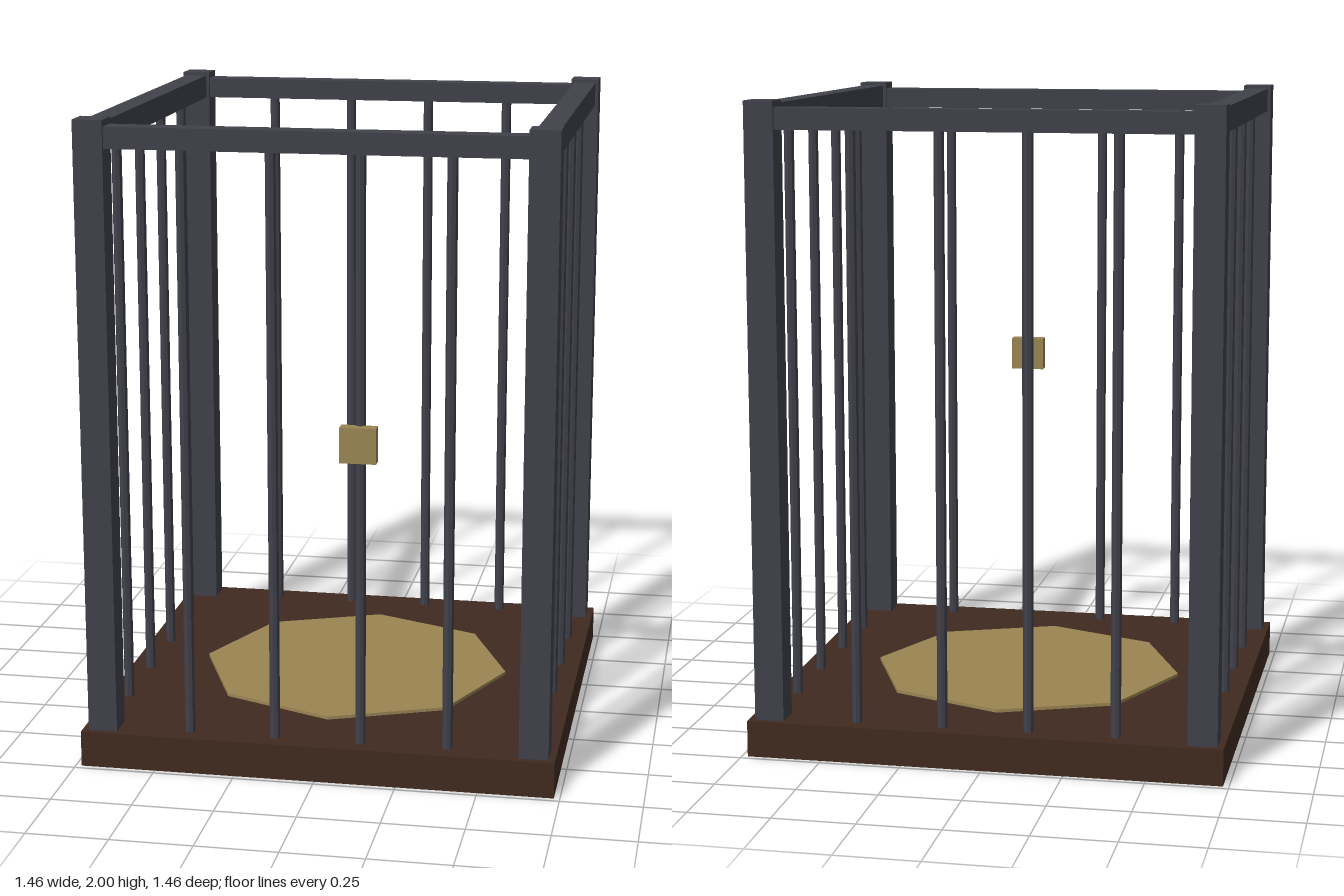
import * as THREE from 'three';

export function createModel() {
  const cage = new THREE.Group();
  cage.name = 'cage';

  const material = (name, color) => {
    const m = new THREE.MeshStandardMaterial({ color, flatShading: true });
    m.name = name;
    return m;
  };
  const wood = material('dark wood', 0x402a20);
  const iron = material('dark iron', 0x40414a);
  const straw = material('dull gold', 0x9a8452);

  const add = (parent, name, geometry, mat, x, y, z) => {
    const mesh = new THREE.Mesh(geometry, mat);
    mesh.name = name;
    mesh.position.set(x, y, z);
    parent.add(mesh);
    return mesh;
  };

  // Floor slab and the eight-sided mat lying on it
  const floorTop = 0.112;
  add(cage, 'floor', new THREE.BoxGeometry(1.464, floorTop, 1.464), wood, 0, floorTop / 2, 0);
  add(cage, 'floorMat', new THREE.CylinderGeometry(0.5, 0.5, 0.01, 8), straw, 0, floorTop + 0.005, 0);

  // Corner posts
  const inset = 0.667;
  const postBottom = 0.1;
  const post = new THREE.BoxGeometry(0.09, 2 - postBottom, 0.09);
  for (const x of [-inset, inset]) {
    for (const z of [-inset, inset]) {
      add(cage, 'cornerPost', post, iron, x, (2 + postBottom) / 2, z);
    }
  }

  // Four barred walls; the side rails stand slightly taller than front and back
  const railBottom = 1.915;
  const barBottom = 0.1;
  const barTop = railBottom + 0.02;
  const bar = new THREE.CylinderGeometry(0.016, 0.016, barTop - barBottom, 8);
  ['front', 'left', 'back', 'right'].forEach((side, i) => {
    const wall = new THREE.Group();
    wall.name = side + 'Wall';
    wall.rotation.y = i * Math.PI / 2;
    const height = i % 2 ? 0.075 : 0.065;
    add(wall, 'topRail', new THREE.BoxGeometry(1.28, height, 0.07), iron, 0, railBottom + height / 2, inset);
    for (const x of [-0.4, -0.133, 0.133, 0.4]) {
      add(wall, 'bar', bar, iron, x, (barTop + barBottom) / 2, inset);
    }
    cage.add(wall);
  });

  // Lock on one of the front bars
  add(cage, 'lock', new THREE.BoxGeometry(0.11, 0.108, 0.04), straw, 0.131, 1.057, 0.69);

  return cage;
}
